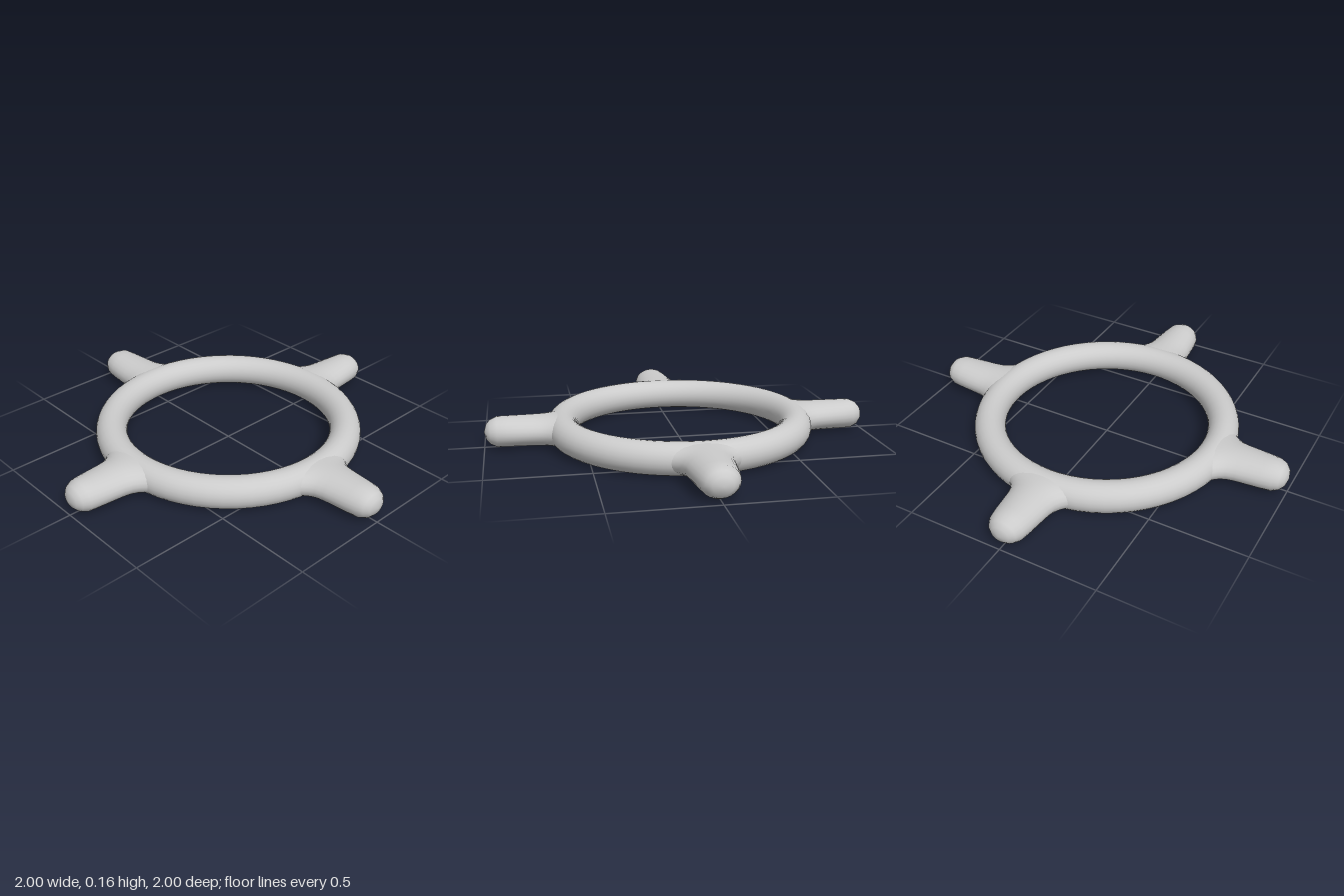
import * as THREE from 'three';
import { mergeVertices } from 'three/addons/utils/BufferGeometryUtils.js';

const HALF_HEIGHT = 0.08;

// Handle pointing to +z: a turned profile whose flare is flattened to the ring's height
function handleGeometry() {
  // half-width, distance from the centre
  const profile = [
    [0.25, 0.6], [0.2, 0.64], [0.165, 0.665], [0.142, 0.69], [0.125, 0.72], [0.116, 0.76],
    [0.109, 0.82], [0.102, 0.88], [0.092, 0.935], [0.074, 0.968], [0.048, 0.988], [0, 1],
  ].map(([w, d]) => new THREE.Vector2(w, d));
  let geo = new THREE.LatheGeometry(profile, 24);
  geo.rotateX(Math.PI / 2);
  const pos = geo.attributes.position;
  for (let i = 0; i < pos.count; i++) {
    const w = Math.hypot(pos.getX(i), pos.getY(i));
    if (w < 1e-6) continue;
    const height = Math.min(0.077, w * 0.84);
    pos.setY(i, pos.getY(i) * height / w);
  }
  // weld the seam for smooth shading
  geo.deleteAttribute('uv');
  geo.deleteAttribute('normal');
  geo = mergeVertices(geo, 1e-4);
  geo.computeVertexNormals();
  return geo;
}

export function createModel() {
  const group = new THREE.Group();
  group.name = 'handwheel';
  const material = new THREE.MeshStandardMaterial({ color: 0xcccccc });

  // Round ring lying flat
  const ring = new THREE.Mesh(new THREE.TorusGeometry(0.608, HALF_HEIGHT, 24, 64), material);
  ring.name = 'ring';
  ring.rotation.x = Math.PI / 2;
  ring.position.y = HALF_HEIGHT;
  group.add(ring);

  // Four flared handles around the ring
  const geo = handleGeometry();
  ['frontHandle', 'leftHandle', 'backHandle', 'rightHandle'].forEach((name, i) => {
    const handle = new THREE.Mesh(geo, material);
    handle.name = name;
    handle.rotation.y = i * Math.PI / 2;
    handle.position.y = HALF_HEIGHT;
    group.add(handle);
  });
  return group;
}
